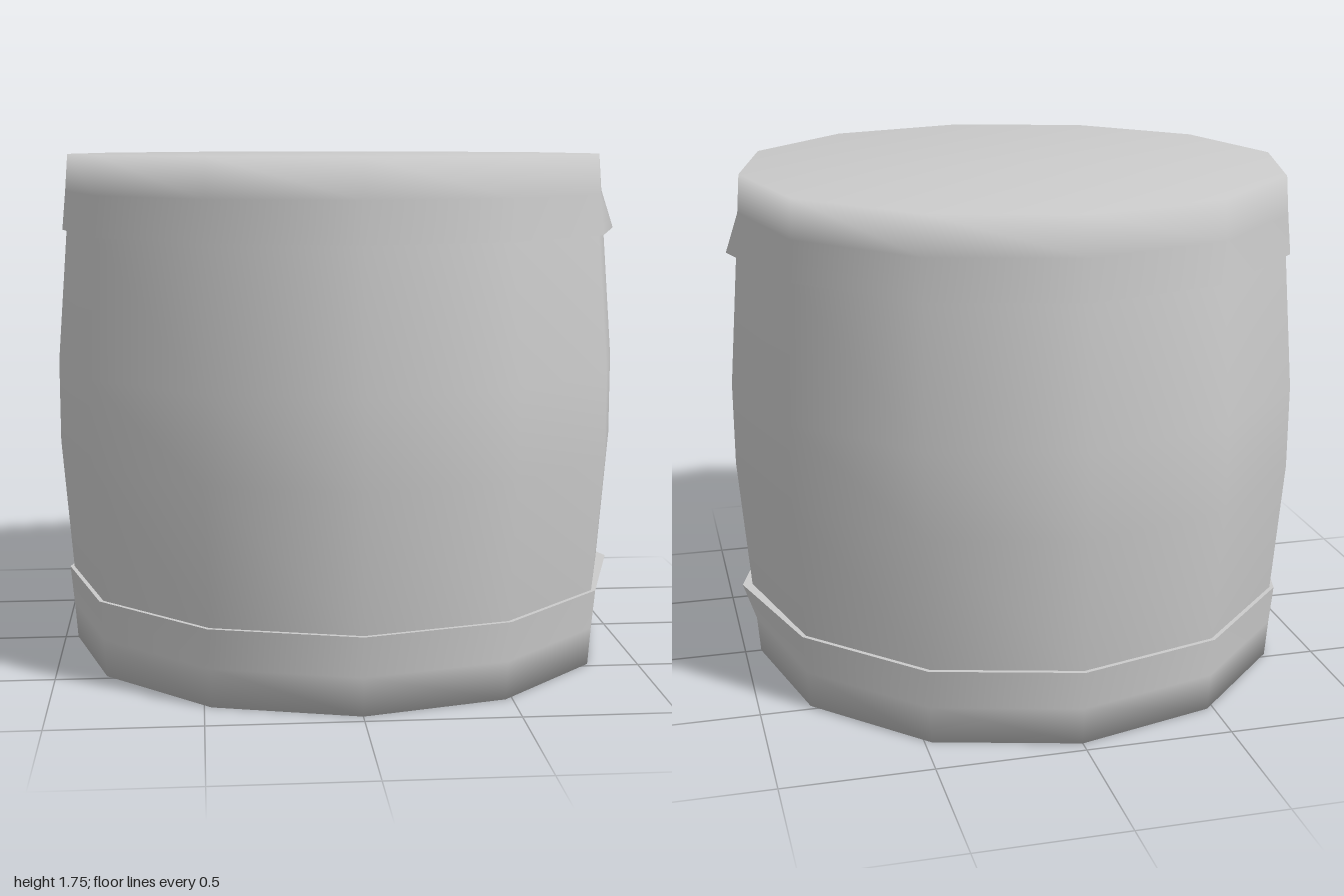
import * as THREE from 'three';

const SIDES = 12;
const HEIGHT = 1.75;
const BAND = 0.265; // band height
const RIM_R = 0.955;
const BAND_R = 0.978;

const material = new THREE.MeshStandardMaterial({ color: 0xcccccc, side: THREE.DoubleSide });

// Smooth twelve-sided turned surface from [radius, height] pairs, listed bottom to top
function turned(name, profile) {
  const points = profile.map(([r, y]) => new THREE.Vector2(r, y));
  const mesh = new THREE.Mesh(new THREE.LatheGeometry(points, SIDES), material);
  mesh.name = name;
  return mesh;
}

// Hoop joint on +x: the rim dips in and the free edge flares out
function flareJoint(mesh) {
  const p = mesh.geometry.attributes.position;
  for (let i = 0; i < p.count; i++) {
    const x = p.getX(i);
    if (x < 0.9 || Math.abs(p.getZ(i)) > 0.001) continue;
    if (x > BAND_R - 0.002) p.setX(i, 0.998);
    else if (x > RIM_R - 0.002) p.setX(i, x - 0.012);
  }
  return mesh;
}

export function createModel() {
  const model = new THREE.Group();
  model.name = 'barrel';

  // Bulging staves
  model.add(turned('body', [
    [0.935, 0.1], [0.963, BAND], [1, 0.73], [1, HEIGHT - 0.73], [0.963, HEIGHT - BAND], [0.935, HEIGHT - 0.1],
  ]));

  // End cap and hoop in one softly shaded shell, plus the thin ledge at its free edge
  const cap = [[0, 0], [RIM_R, 0], [0.965, 0.13], [BAND_R, BAND]];
  const ledge = [[BAND_R, BAND], [0.945, BAND]];
  const flip = (profile) => profile.map(([r, y]) => [r, HEIGHT - y]).reverse();

  model.add(flareJoint(turned('bottomCap', cap)));
  model.add(flareJoint(turned('bottomBandLedge', ledge)));
  model.add(flareJoint(turned('topCap', flip(cap))));
  model.add(flareJoint(turned('topBandLedge', flip(ledge))));

  return model;
}
